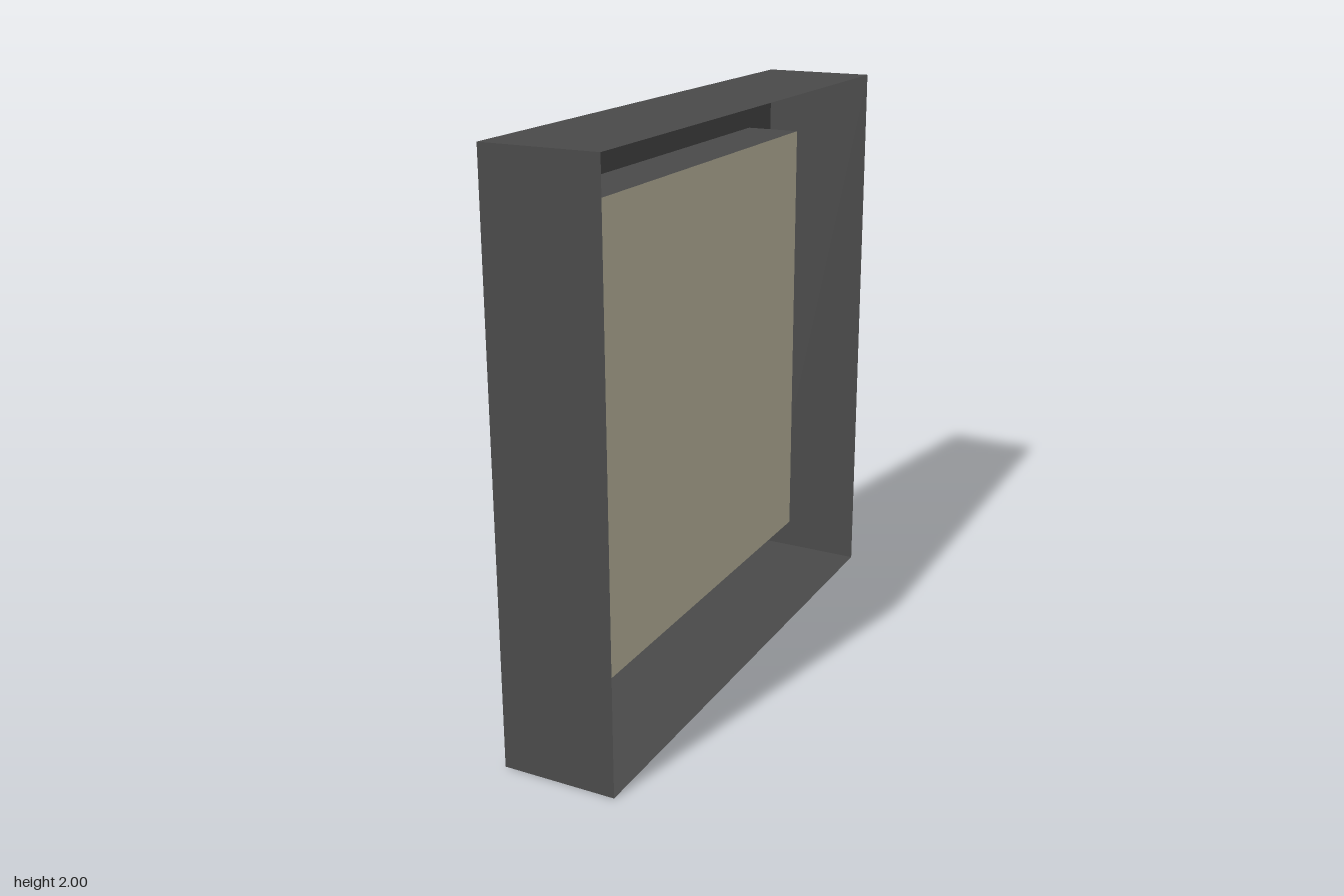
import * as THREE from 'three';

function material(name, color, side = THREE.FrontSide) {
  const m = new THREE.MeshStandardMaterial({ color, side });
  m.name = name;
  return m;
}

function square(Type, half) {
  return new Type([[-1, -1], [1, -1], [1, 1], [-1, 1]]
    .map(([x, y]) => new THREE.Vector2(x * half, y * half)));
}

export function createModel() {
  const model = new THREE.Group();
  model.name = 'squareGauge';
  const charcoal = material('charcoal', 0x4a4a4a, THREE.DoubleSide);
  const cream = material('cream', 0xcbc5ab, THREE.DoubleSide);
  const red = material('red', 0xb4282d);

  // Built facing +z around its own centre, then turned to face -x
  const gauge = new THREE.Group();
  gauge.name = 'gauge';
  gauge.position.y = 1;
  gauge.rotation.y = -Math.PI / 2;
  model.add(gauge);

  function add(name, geometry, mat) {
    const mesh = new THREE.Mesh(geometry, mat);
    mesh.name = name;
    gauge.add(mesh);
  }

  // Four thin sheets around a square, from z0 to z1
  function walls(name, half, z0, z1) {
    for (let i = 0; i < 4; i++) {
      const g = new THREE.PlaneGeometry(half * 2, z1 - z0);
      g.rotateX(-Math.PI / 2);
      g.translate(0, half, (z0 + z1) / 2);
      g.rotateZ(i * Math.PI / 2);
      add(name + (i + 1), g, charcoal);
    }
  }

  // Open-backed case: outer walls, front rim and recess walls
  walls('outerWall', 1, -0.2, 0.2);
  walls('recessWall', 0.8, 0, 0.2);
  const rim = square(THREE.Shape, 1);
  rim.holes.push(square(THREE.Path, 0.8));
  add('rim', new THREE.ShapeGeometry(rim).translate(0, 0, 0.2), charcoal);

  // Dial at the bottom of the recess
  add('dial', new THREE.PlaneGeometry(1.6, 1.6), cream);

  // Pointed needle standing on the dial
  const needle = new THREE.Shape([[-0.08, -0.2], [0.08, -0.2], [0.08, 0.2], [0, 0.71], [-0.08, 0.2]]
    .map(([x, y]) => new THREE.Vector2(x, y)));
  const needleGeometry = new THREE.ExtrudeGeometry(needle, { depth: 0.196, bevelEnabled: false });
  add('needle', needleGeometry.translate(0, 0, 0.004), red);

  return model;
}
